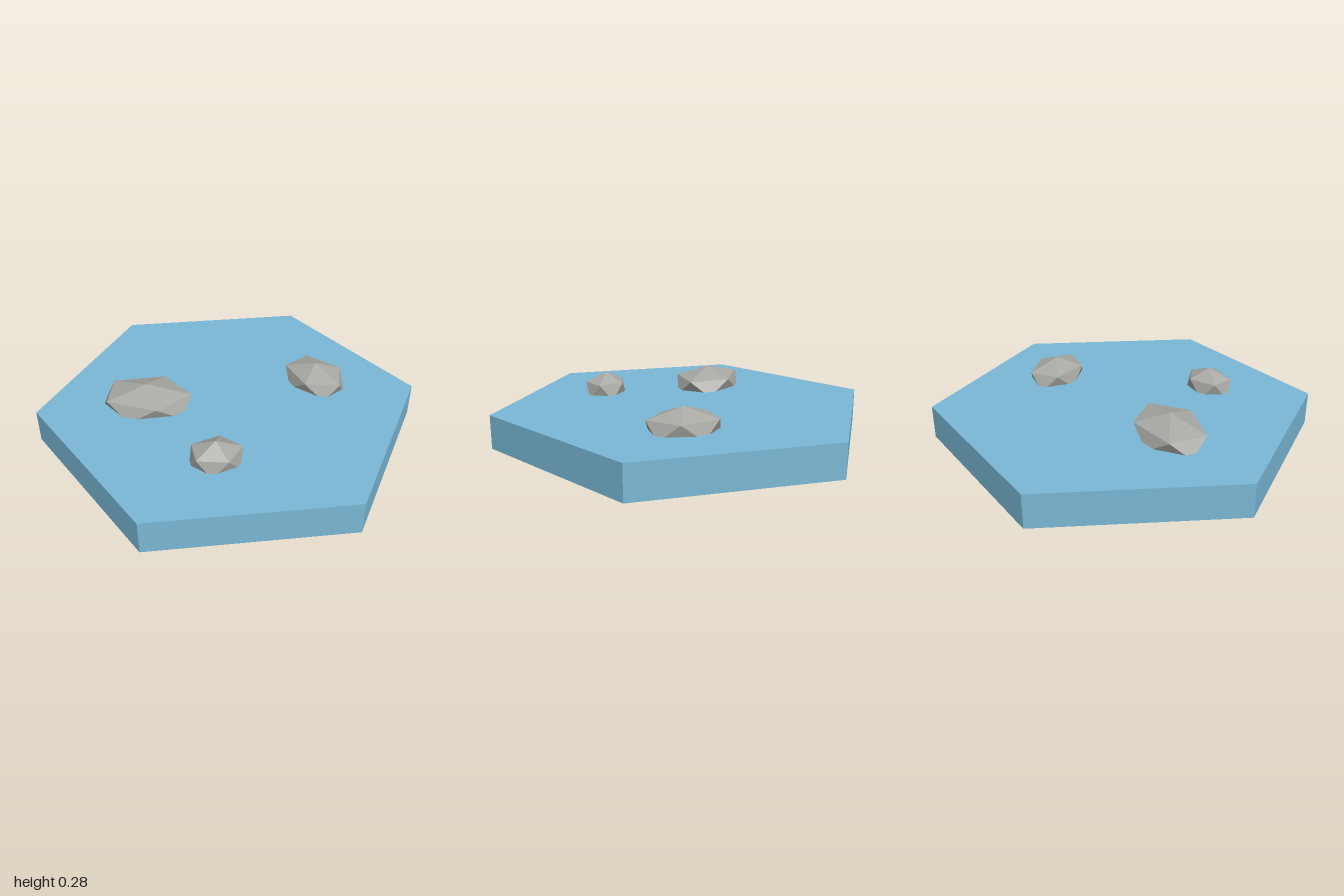
import * as THREE from 'three';

const TILE_HEIGHT = 0.174;

export function createModel() {
  const group = new THREE.Group();
  const water = new THREE.MeshStandardMaterial({ color: 0x7ab8d6 });
  water.name = 'water blue';
  const stone = new THREE.MeshStandardMaterial({ color: 0xa8a8a4 });
  stone.name = 'stone grey';

  // Hexagonal tile with a corner towards the front, flat faces
  const hex = new THREE.CylinderGeometry(1, 1, TILE_HEIGHT, 6).toNonIndexed();
  hex.computeVertexNormals();
  const tile = new THREE.Mesh(hex, water);
  tile.name = 'waterTile';
  tile.position.y = TILE_HEIGHT / 2;
  group.add(tile);

  // Faceted rock: an icosahedron stood on one corner, with an upper ring corner on +x
  const rockGeometry = new THREE.IcosahedronGeometry(1, 0);
  rockGeometry.rotateZ(Math.atan(2 / (1 + Math.sqrt(5))));
  rockGeometry.rotateY(Math.PI);

  // Squashed rocks, half sunk into the tile
  const rocks = [
    { name: 'largeRock', x: -0.385, z: 0.19, length: 0.263, width: 0.186, turn: 0.333 },
    { name: 'mediumRock', x: 0.362, z: -0.35, length: 0.205, width: 0.154, turn: -0.488 },
    { name: 'smallRock', x: 0.138, z: 0.48, length: 0.147, width: 0.122, turn: 0.62 },
  ];
  for (const { name, x, z, length, width, turn } of rocks) {
    const rock = new THREE.Mesh(rockGeometry, stone);
    rock.name = name;
    rock.position.set(x, 0.19, z);
    rock.rotation.y = turn;
    rock.scale.set(length, 0.095, width);
    group.add(rock);
  }
  return group;
}
